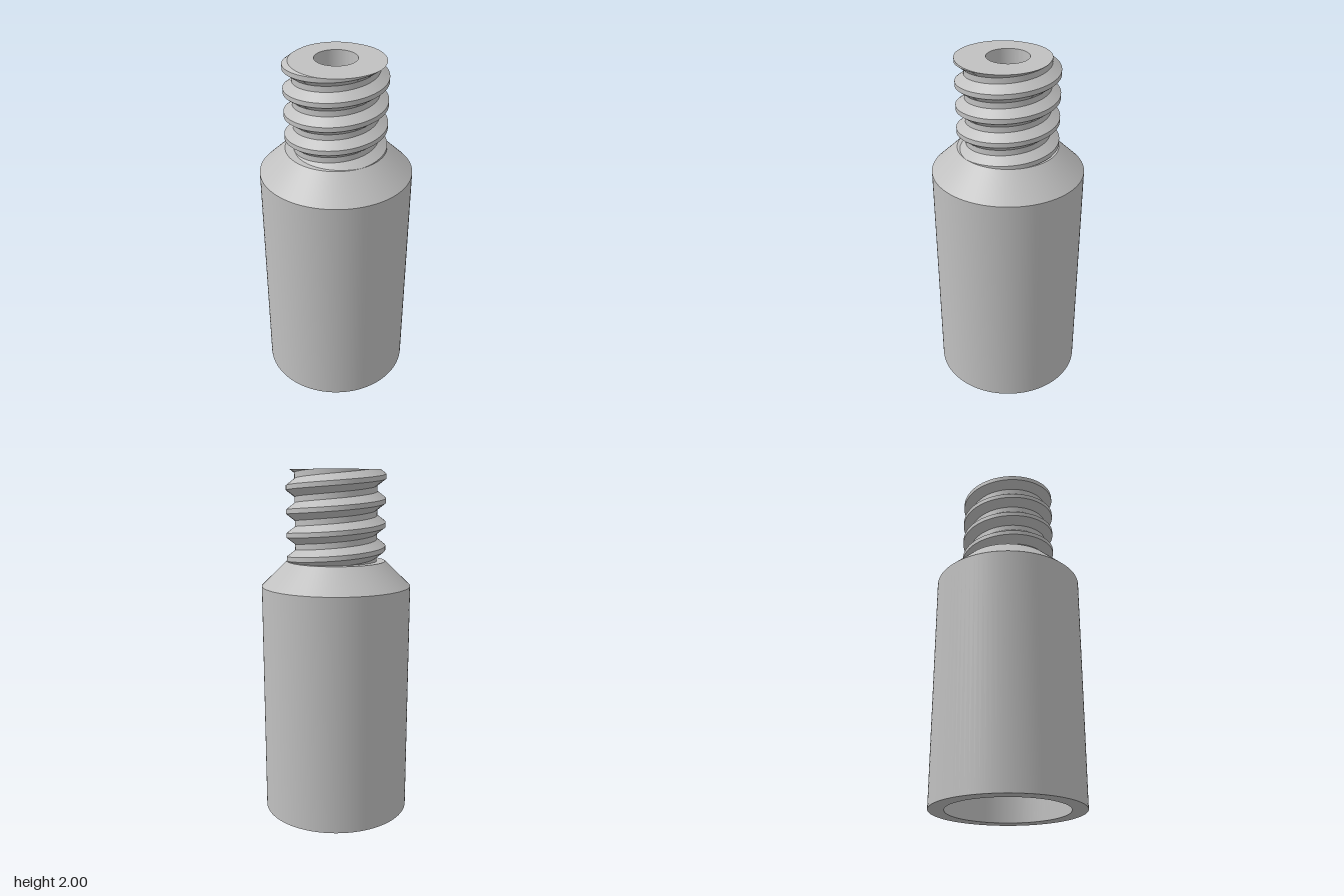
import * as THREE from 'three';
import { toCreasedNormals } from 'three/addons/utils/BufferGeometryUtils.js';

const SEGMENTS = 96;
const BORE = 0.115, CAVITY = 0.34, BODY = 0.427;
const SHOULDER = 1.49, TOP = 2;
// thread: radii, pitch, half width of the crest, and height of a flank
const MINOR = 0.233, MAJOR = 0.281, PITCH = 0.132, CREST = 0.013, FLANK = 0.037;

function lathe(name, points, material) {
  const geometry = new THREE.LatheGeometry(points.map(([r, y]) => new THREE.Vector2(r, y)), SEGMENTS);
  const mesh = new THREE.Mesh(toCreasedNormals(geometry, 0.5), material);
  mesh.name = name;
  return mesh;
}

// height of the helix crest at an angle (right-handed, rising anticlockwise)
const crestHeight = (angle) => 1.912 + (PITCH * angle) / (2 * Math.PI);

function threadRadius(angle, y) {
  const turns = (y - crestHeight(angle)) / PITCH;
  const distance = Math.abs(turns - Math.round(turns)) * PITCH;
  const t = THREE.MathUtils.clamp((distance - CREST) / FLANK, 0, 1);
  return THREE.MathUtils.lerp(MAJOR, MINOR, t);
}

// Joins two edges, each a function of angle giving [radius, height], into a strip
function addStrip(positions, indices, lower, upper) {
  const start = positions.length / 3;
  for (let i = 0; i <= SEGMENTS; i++) {
    const angle = (i / SEGMENTS) * Math.PI * 2;
    for (const [r, y] of [lower(angle), upper(angle)]) {
      positions.push(r * Math.cos(angle), y, -r * Math.sin(angle));
    }
    if (i < SEGMENTS) {
      const a = start + i * 2;
      indices.push(a, a + 2, a + 1, a + 1, a + 2, a + 3);
    }
  }
}

function threadGeometry() {
  const positions = [], indices = [];
  // profile corners over one pitch, relative to the crest
  const corners = [-CREST - FLANK, -CREST, CREST, CREST + FLANK, PITCH - CREST - FLANK];
  const edge = (offset) => (angle) => {
    const y = THREE.MathUtils.clamp(crestHeight(angle) + offset, SHOULDER, TOP);
    return [threadRadius(angle, y), y];
  };
  for (let turn = -5; turn <= 2; turn++) {
    for (let c = 0; c < 4; c++) {
      addStrip(positions, indices, edge(corners[c] + turn * PITCH), edge(corners[c + 1] + turn * PITCH));
    }
  }
  // flat end face around the bore
  addStrip(positions, indices, (angle) => [threadRadius(angle, TOP), TOP], () => [BORE, TOP]);

  const geometry = new THREE.BufferGeometry();
  geometry.setAttribute('position', new THREE.Float32BufferAttribute(positions, 3));
  geometry.setIndex(indices);
  geometry.computeVertexNormals();
  return geometry;
}

export function createModel() {
  const model = new THREE.Group();
  model.name = 'threadedAdapter';
  const metal = new THREE.MeshStandardMaterial({ color: 0xc0c0c0 });
  metal.name = 'grey metal';

  // outer sleeve with its chamfered shoulder
  model.add(lathe('body', [
    [CAVITY, 0], [BODY, 0], [BODY, 1.35], [MAJOR, SHOULDER], [0.2, SHOULDER],
  ], metal));

  // narrow through hole opening into the wide socket below
  model.add(lathe('boreAndSocket', [
    [BORE, TOP], [BORE, 1.2], [CAVITY, 1.2], [CAVITY, 0],
  ], metal));

  const thread = new THREE.Mesh(threadGeometry(), metal);
  thread.name = 'thread';
  model.add(thread);
  return model;
}
